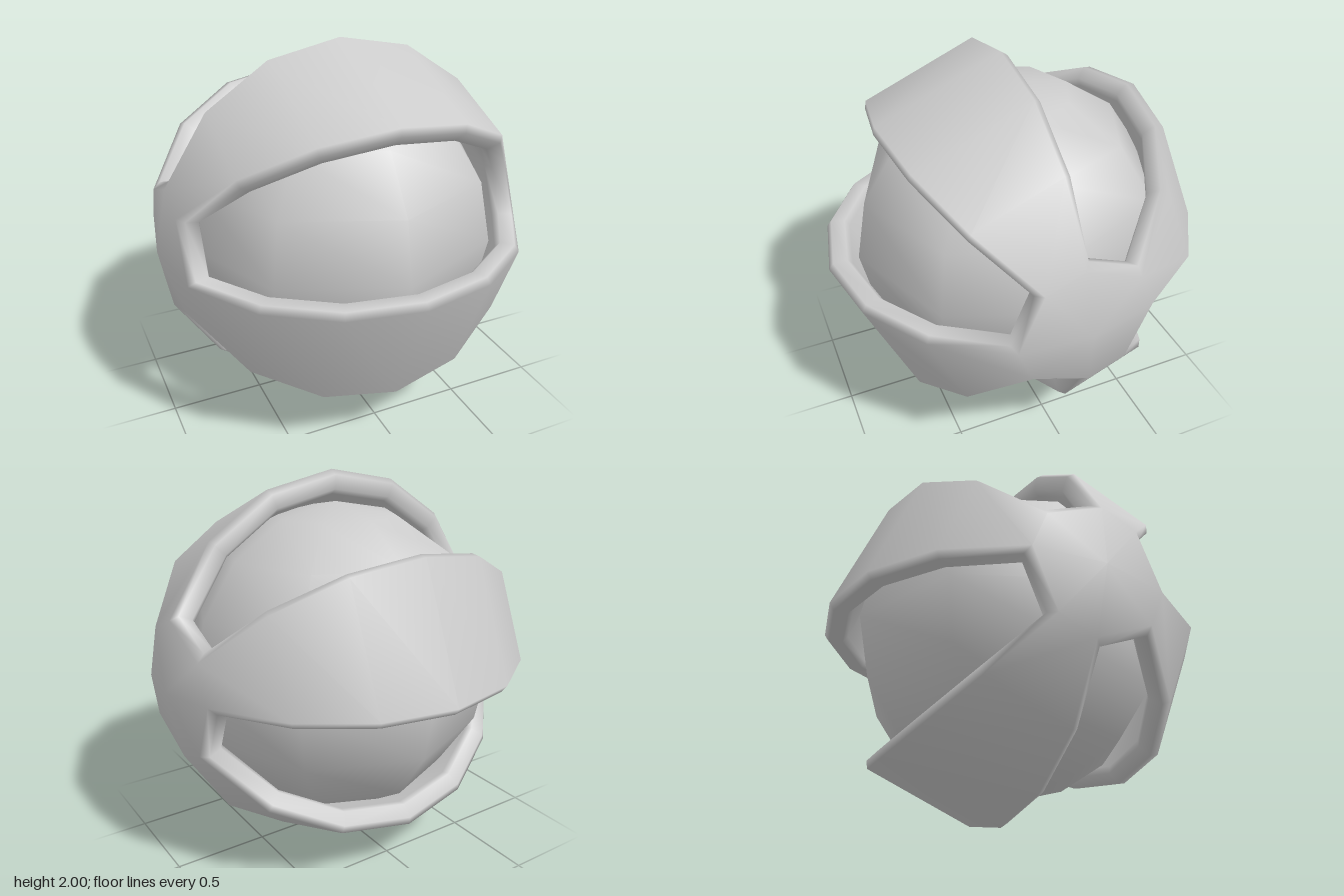
import * as THREE from 'three';

const SEG = 8;                          // meridians around x, and rings from pole to pole
const RADII = [1, 0.975, 0.9, 0.875];   // outer skin, two rim edges, inner skin
const BEVEL = 0.035;

// Hollow ball about the x axis; every second sector is an opening between the pole caps
function shellGeometry() {
  const pos = [], index = [];
  const id = (i, m, k) => (i * SEG + (i % SEG === 0 ? 0 : m % SEG)) * 4 + k;

  for (let i = 0; i <= SEG; i++) {
    for (let m = 0; m < SEG; m++) {
      for (let k = 0; k < 4; k++) {
        let theta = i * Math.PI / SEG;
        let a = m * 2 * Math.PI / SEG;
        // skins are pulled back from the opening to bevel its edge
        if (i % SEG !== 0 && (k === 0 || k === 3)) {
          a += (m % 2 ? 1 : -1) * BEVEL / Math.sin(theta);
          if (i === 1) theta -= BEVEL;
          if (i === SEG - 1) theta += BEVEL;
        }
        const r = RADII[k], s = Math.sin(theta);
        pos.push(r * Math.cos(theta), r * s * Math.sin(a), r * s * Math.cos(a));
      }
    }
  }

  const tri = (a, b, c) => {
    if (a !== b && b !== c && a !== c) index.push(a, b, c);
  };
  const quad = (a, b, c, d) => { tri(a, b, c); tri(a, c, d); };

  for (let m = 0; m < SEG; m++) {
    // outer and inner skins
    for (let i = 0; i < SEG; i++) {
      const cap = i === 0 || i === SEG - 1;
      if (m % 2 === 0 && !cap) continue;
      quad(id(i, m, 0), id(i, m + 1, 0), id(i + 1, m + 1, 0), id(i + 1, m, 0));
      quad(id(i + 1, m, 3), id(i + 1, m + 1, 3), id(i, m + 1, 3), id(i, m, 3));
    }
    // rounded rim around each opening
    if (m % 2 === 0) {
      const loop = [];
      for (let i = 1; i < SEG; i++) loop.push([i, m + 1]);
      for (let i = SEG - 1; i > 0; i--) loop.push([i, m]);
      loop.forEach((p, n) => {
        const q = loop[(n + 1) % loop.length];
        for (let k = 0; k < 3; k++) quad(id(...p, k), id(...q, k), id(...q, k + 1), id(...p, k + 1));
      });
    }
  }

  const geo = new THREE.BufferGeometry();
  geo.setAttribute('position', new THREE.Float32BufferAttribute(pos, 3));
  geo.setIndex(index);
  geo.computeVertexNormals();
  return geo;
}

export function createModel() {
  const group = new THREE.Group();
  const material = new THREE.MeshStandardMaterial({ color: 0xcccccc });

  const add = (name, geometry) => {
    const mesh = new THREE.Mesh(geometry, material);
    mesh.name = name;
    mesh.position.y = 1;
    group.add(mesh);
  };

  add('outerShell', shellGeometry());
  add('innerBall', new THREE.SphereGeometry(0.84, 8, 8));
  return group;
}
